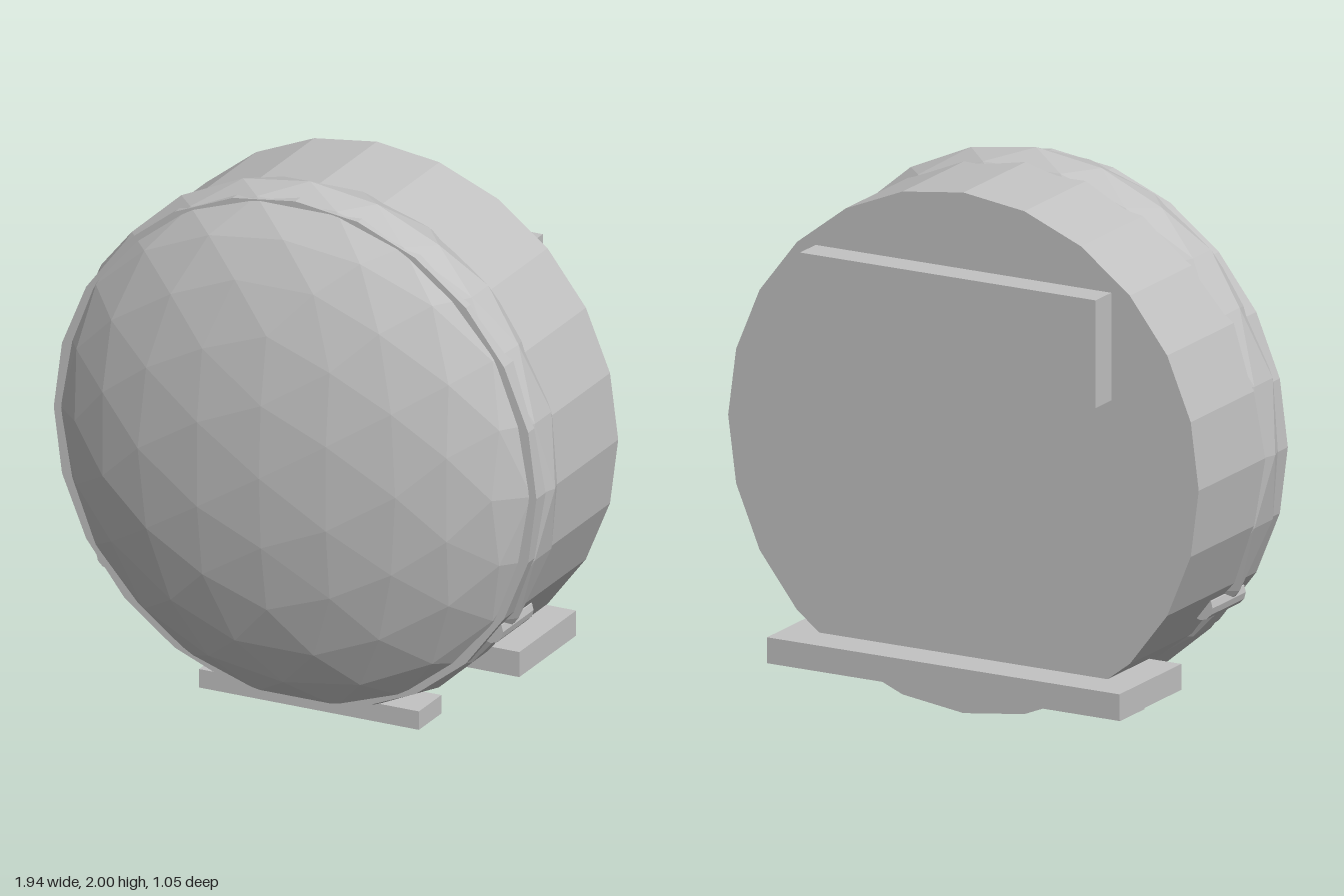
import * as THREE from 'three';

const CENTRE_Y = 1.01;

// Sphere made by halving the edges of an icosahedron, one flat face per triangle
function facetedSphere(levels) {
  const src = new THREE.IcosahedronGeometry(1, 0).getAttribute('position');
  let pts = [];
  for (let i = 0; i < src.count; i++) pts.push(new THREE.Vector3().fromBufferAttribute(src, i));
  const mid = (a, b) => a.clone().add(b).normalize();
  for (let l = 0; l < levels; l++) {
    const next = [];
    for (let i = 0; i < pts.length; i += 3) {
      const [a, b, c] = pts.slice(i, i + 3);
      const ab = mid(a, b), bc = mid(b, c), ca = mid(c, a);
      next.push(a, ab, ca, ab, b, bc, ca, bc, c, ab, bc, ca);
    }
    pts = next;
  }
  return new THREE.BufferGeometry().setFromPoints(pts);
}

export function createModel() {
  const model = new THREE.Group();
  model.name = 'roundCase';
  const grey = new THREE.MeshStandardMaterial({ color: 0xc2c2c2, flatShading: true });
  grey.name = 'light grey';

  function add(name, geometry, x, y, z) {
    const mesh = new THREE.Mesh(geometry, grey);
    mesh.name = name;
    mesh.position.set(x, y, z);
    model.add(mesh);
    return mesh;
  }
  // Box given by its width and its y and z limits, centred on x
  const block = (name, w, y0, y1, z0, z1) =>
    add(name, new THREE.BoxGeometry(w, y1 - y0, z1 - z0), 0, (y0 + y1) / 2, (z0 + z1) / 2);

  // Drum-shaped body with its axis front to back
  const drum = new THREE.CylinderGeometry(0.955, 0.955, 0.63, 24).rotateX(Math.PI / 2);
  add('body', drum, 0, CENTRE_Y, -0.07);

  // Flattened dome, slightly wider than the body
  const dome = facetedSphere(2).scale(0.97, 0.9875, 0.395);
  dome.computeVertexNormals();
  add('frontDome', dome, 0, 1.0125, 0.13);

  // Back box and the two feet
  block('backBox', 1.2, 1.29, 1.685, -0.495, -0.385);
  block('rearFoot', 1.43, 0.17, 0.265, -0.528, -0.09);
  block('frontFoot', 0.87, 0, 0.07, -0.035, 0.138);

  // Small pegs low on both sides
  for (const side of [1, -1]) {
    const peg = new THREE.CylinderGeometry(0.05, 0.05, 0.235, 12).rotateX(Math.PI / 2);
    add(side > 0 ? 'leftPeg' : 'rightPeg', peg, side * 0.755, 0.465, 0.092);
  }
  return model;
}
